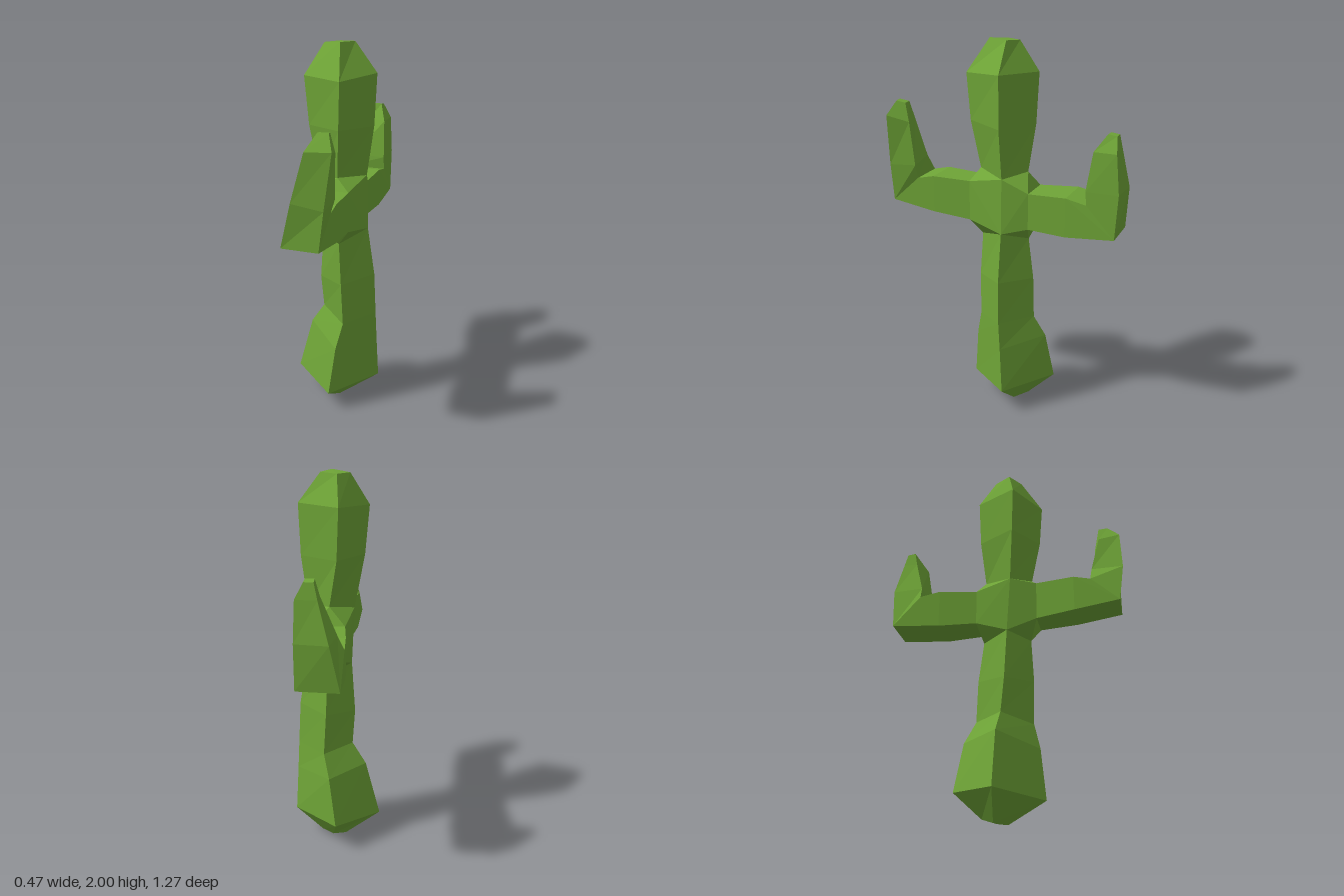
import * as THREE from 'three';
import { ConvexGeometry } from 'three/addons/geometries/ConvexGeometry.js';

// Flat-faced skin over four-cornered rings, with optional caps on either end
function loft(rings, capStart, capEnd) {
  const pos = [];
  const quad = (a, b, c, d) => pos.push(...a, ...b, ...c, ...a, ...c, ...d);
  for (let r = 0; r < rings.length - 1; r++) {
    const lo = rings[r], hi = rings[r + 1];
    for (let i = 0; i < 4; i++) {
      const j = (i + 1) % 4;
      quad(lo[i], lo[j], hi[j], hi[i]);
    }
  }
  if (capStart) quad(...[...rings[0]].reverse());
  if (capEnd) quad(...rings[rings.length - 1]);
  const g = new THREE.BufferGeometry();
  g.setAttribute('position', new THREE.Float32BufferAttribute(pos, 3));
  g.computeVertexNormals();
  return g;
}

export function createModel() {
  const group = new THREE.Group();
  const green = new THREE.MeshStandardMaterial({ color: 0x6fa537, flatShading: true });
  green.name = 'cactus green';
  const add = (name, geometry) => {
    const mesh = new THREE.Mesh(geometry, green);
    mesh.name = name;
    group.add(mesh);
  };

  // Ring corners run front, right, back, left
  const lowerNeck = [[0.055, 0.98, 0.12], [0.165, 1.03, -0.03], [0.04, 0.98, -0.135], [-0.07, 1.0, 0.01]];
  const upperNeck = [[0.05, 1.34, 0.13], [0.155, 1.32, -0.03], [0.03, 1.34, -0.125], [-0.08, 1.3, 0.03]];

  // Trunk below the arms
  add('lowerTrunk', loft([
    [[0.02, 0, 0], [0.08, 0.02, -0.07], [0.01, 0.03, -0.13], [-0.05, 0, -0.06]],
    [[0.02, 0.11, 0.19], [0.23, 0.14, -0.06], [-0.02, 0.16, -0.27], [-0.235, 0.13, -0.03]],
    [[0.05, 0.38, 0.16], [0.22, 0.39, -0.045], [0.02, 0.42, -0.23], [-0.155, 0.43, -0.03]],
    [[0.08, 0.52, 0.125], [0.215, 0.54, -0.035], [0.055, 0.54, -0.175], [-0.08, 0.545, -0.02]],
    [[0.07, 0.75, 0.13], [0.205, 0.77, -0.03], [0.045, 0.76, -0.165], [-0.09, 0.73, 0]],
    lowerNeck,
  ], true, false));

  // Trunk above the arms
  add('upperTrunk', loft([
    upperNeck,
    [[0.07, 1.59, 0.175], [0.19, 1.58, -0.03], [-0.01, 1.58, -0.15], [-0.13, 1.58, 0.05]],
    [[0.08, 1.83, 0.19], [0.2, 1.845, -0.035], [-0.02, 1.84, -0.16], [-0.15, 1.83, 0.06]],
    [[0.045, 2, 0.077], [0.087, 1.995, -0.028], [0, 1.99, -0.065], [-0.055, 1.99, 0.022]],
  ], false, true));

  // Arm ring: x range, then y and z of its underside (outer) and upper side (inner)
  const section = (x0, x1, [yo, zo], [yi, zi]) =>
    [[x0, yo, zo], [x1, yo, zo], [x1, yi, zi], [x0, yi, zi]];
  const frontRoot = section(-0.035, 0.12, [1.07, 0.165], [1.28, 0.165]);
  const backRoot = section(0.12, -0.055, [1.06, -0.16], [1.25, -0.16]);

  // Hub joining trunk and arms
  add('hub', new ConvexGeometry(
    [lowerNeck, upperNeck, frontRoot, backRoot].flat().map((p) => new THREE.Vector3(...p))));

  // Taller arm, bending up and leaning sideways
  add('frontArm', loft([
    frontRoot,
    section(-0.06, 0.13, [1.09, 0.37], [1.285, 0.37]),
    section(-0.058, 0.13, [1.128, 0.61], [1.265, 0.46]),
    [[0.005, 1.36, 0.635], [0.155, 1.33, 0.61], [0.155, 1.34, 0.46], [0.01, 1.36, 0.465]],
    [[0.07, 1.6, 0.625], [0.19, 1.6, 0.597], [0.165, 1.57, 0.48], [0.05, 1.57, 0.51]],
    [[0.11, 1.675, 0.56], [0.16, 1.675, 0.55], [0.15, 1.665, 0.505], [0.1, 1.665, 0.51]],
  ], false, true));

  // Shorter arm
  add('backArm', loft([
    backRoot,
    section(0.125, -0.085, [1.05, -0.36], [1.255, -0.36]),
    section(0.12, -0.093, [1.068, -0.612], [1.23, -0.465]),
    [[0.12, 1.3, -0.625], [-0.045, 1.3, -0.635], [-0.06, 1.3, -0.47], [0.12, 1.3, -0.458]],
    [[0.115, 1.5, -0.605], [0.01, 1.5, -0.605], [0.01, 1.5, -0.53], [0.11, 1.5, -0.488]],
    [[0.075, 1.578, -0.592], [0.028, 1.578, -0.592], [0.03, 1.585, -0.55], [0.075, 1.585, -0.547]],
  ], false, true));

  return group;
}
